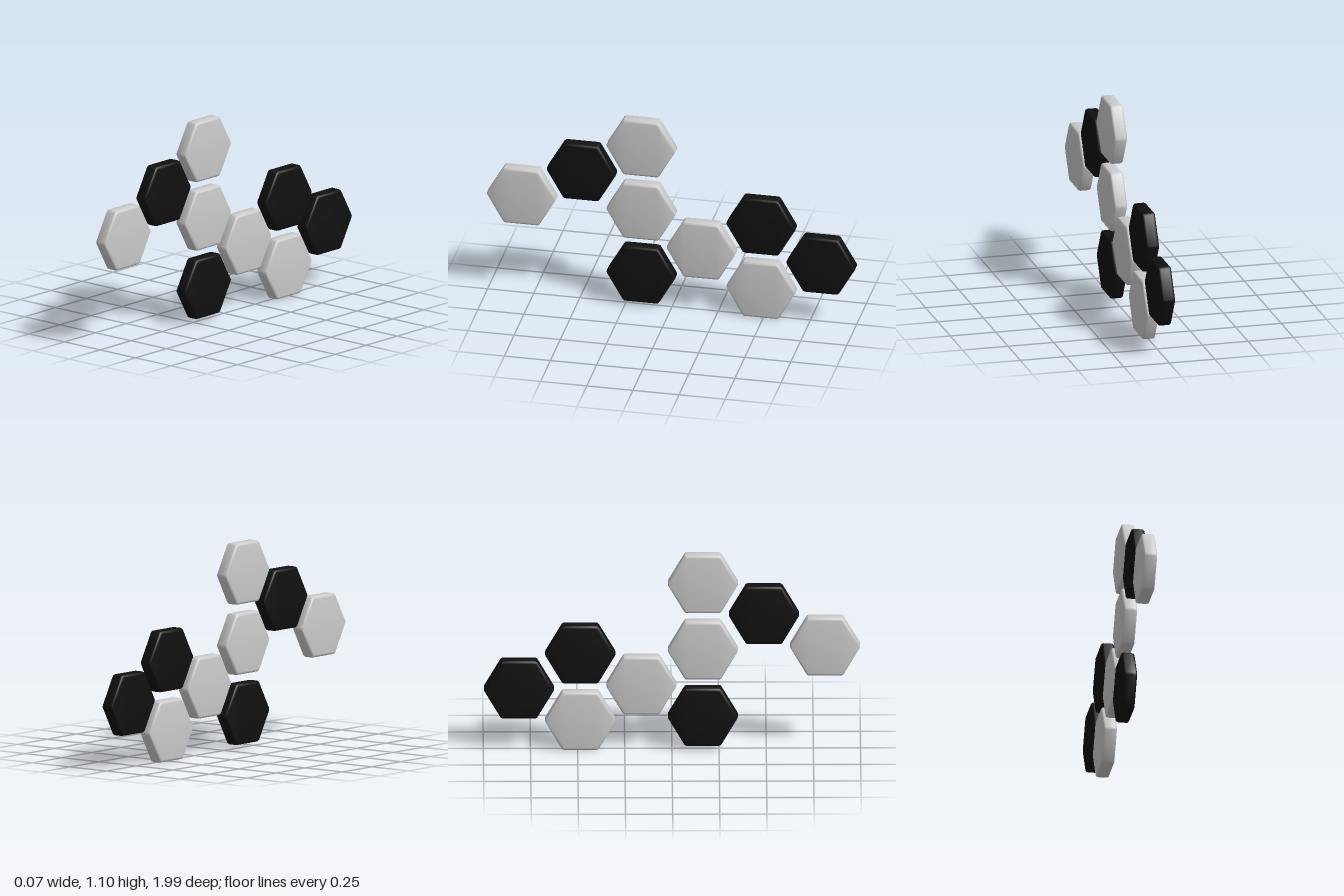
import * as THREE from 'three';
import { toCreasedNormals } from 'three/addons/utils/BufferGeometryUtils.js';

const APOTHEM = 0.1637, THICKNESS = 0.073, CORNER = 0.02, BEVEL = 0.015;

// Hexagonal tile with rounded corners and a soft rim, lying in the YZ plane
function tileGeometry() {
  const shape = new THREE.Shape();
  const reach = (APOTHEM - CORNER) / Math.cos(Math.PI / 6);
  for (let i = 0; i < 6; i++) {
    const a = i * Math.PI / 3;
    shape.absarc(reach * Math.cos(a), reach * Math.sin(a), CORNER, a - Math.PI / 6, a + Math.PI / 6, false);
  }
  shape.closePath();
  const geometry = new THREE.ExtrudeGeometry(shape, {
    depth: THICKNESS - 2 * BEVEL,
    bevelThickness: BEVEL,
    bevelSize: BEVEL,
    bevelOffset: -BEVEL,
    bevelSegments: 4,
    curveSegments: 4,
  });
  geometry.translate(0, 0, -(THICKNESS - 2 * BEVEL) / 2);
  geometry.rotateY(-Math.PI / 2);
  return toCreasedNormals(geometry, Math.PI / 5);
}

export function createModel() {
  const group = new THREE.Group();
  group.name = 'hexagonTiles';
  const grey = new THREE.MeshStandardMaterial({ color: 0xcccccc });
  const black = new THREE.MeshStandardMaterial({ color: 0x101010 });
  const geometry = tileGeometry();

  // Tile centres: z, y, material
  const tiles = [
    [0.812, 0.587, grey],
    [0.488, 0.765, black],
    [0.164, 0.941, grey],
    [0.164, 0.565, grey],
    [0.164, 0.19, black],
    [-0.162, 0.367, grey],
    [-0.486, 0.168, grey],
    [-0.486, 0.544, black],
    [-0.811, 0.346, black],
  ];
  tiles.forEach(([z, y, material], i) => {
    const tile = new THREE.Mesh(geometry, material);
    tile.name = `${material === grey ? 'grey' : 'black'}Tile${i + 1}`;
    tile.position.set(0, y, z);
    group.add(tile);
  });
  return group;
}
